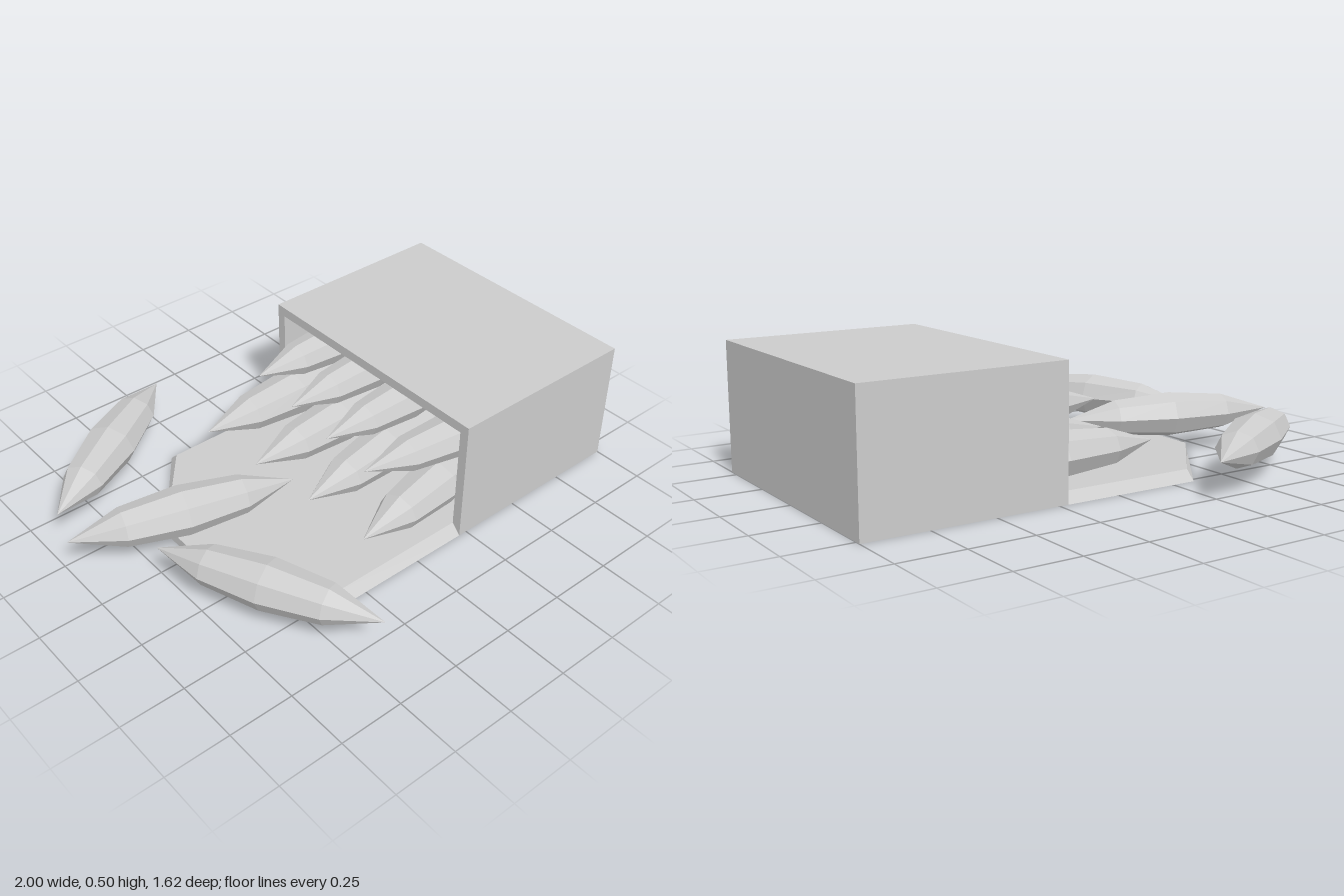
import * as THREE from 'three';

export function createModel() {
  const root = new THREE.Group();
  const material = new THREE.MeshStandardMaterial({ color: 0xcccccc, flatShading: true });
  const add = (geometry, name, parent = root) => {
    const mesh = new THREE.Mesh(geometry, material);
    mesh.name = name;
    parent.add(mesh);
    return mesh;
  };

  const wall = 0.038, front = 0.215, back = 1, height = 0.5, half = 0.535, midZ = 0.013;

  // Carton: a rectangular sleeve open towards -x, closed by an end panel
  const carton = new THREE.Group();
  carton.name = 'carton';
  carton.position.z = midZ;
  root.add(carton);
  const rectangle = (Type, inset) => new Type([
    [-half + inset, inset], [half - inset, inset],
    [half - inset, height - inset], [-half + inset, height - inset],
  ].map(([x, y]) => new THREE.Vector2(x, y)));
  const frame = rectangle(THREE.Shape, 0);
  frame.holes.push(rectangle(THREE.Path, wall));
  const sleeve = new THREE.ExtrudeGeometry(frame, { depth: back - front, bevelEnabled: false });
  sleeve.rotateY(Math.PI / 2).translate(front, 0, 0);
  add(sleeve, 'sleeve', carton);
  const panel = new THREE.BoxGeometry(wall, height - 2 * wall, 2 * (half - wall));
  add(panel, 'endPanel', carton).position.set(back - wall / 2, height / 2, 0);

  // Floor tongue: tapered outline whose sides lean inwards at the top
  const outline = [[front, -half], [front, half], [-0.345, half], [-0.62, 0.18], [-0.62, -0.18], [-0.345, -half]];
  const tongue = new THREE.ExtrudeGeometry(
    new THREE.Shape(outline.map(([x, y]) => new THREE.Vector2(x, y))),
    { depth: wall, bevelEnabled: false });
  tongue.rotateX(-Math.PI / 2);
  const p = tongue.attributes.position;
  for (let i = 0; i < p.count; i++) {
    if (p.getY(i) > wall / 2) p.setZ(i, p.getZ(i) * (half - wall) / half);
  }
  tongue.computeVertexNormals();
  add(tongue, 'floorTongue').position.z = midZ;

  // Eight-sided spindle lying along x, pointed at both ends
  const spindle = new THREE.LatheGeometry(
    [[0, -1], [0.78, -0.53], [1, 0], [0.78, 0.53], [0, 1]].map(([r, y]) => new THREE.Vector2(r, y)), 8);
  spindle.rotateZ(Math.PI / 2);
  const addSpindle = (name, x, y, z, yaw, length = 0.435, high = 0.088, wide = 0.103) => {
    const mesh = add(spindle, name);
    mesh.position.set(x, y, z);
    mesh.rotation.y = yaw;
    mesh.scale.set(length, high, wide);
  };

  // Three loose spindles spilled in front of the carton: tip to tip
  const loose = [
    [-0.95, -0.355, -0.21, -0.81],
    [-1.0, -0.205, -0.165, 0.035],
    [-0.77, 0.02, -0.395, 0.805],
  ];
  for (const [x1, z1, x2, z2] of loose) {
    addSpindle('looseSpindle', (x1 + x2) / 2, 0.148, (z1 + z2) / 2,
      -Math.atan2(z2 - z1, x2 - x1), Math.hypot(x2 - x1, z2 - z1) / 2);
  }

  // Two stacked rows reaching out of the opening: tip x, tip z, z at centre
  const rows = [
    { y: 0.148, size: [0.435, 0.088, 0.105], items: [[-0.24, -0.405, -0.405], [-0.22, -0.125, -0.148], [-0.2, 0.165, 0.11], [-0.185, 0.455, 0.385]] },
    { y: 0.322, size: [0.4, 0.08, 0.095], items: [[0, -0.38, -0.38], [-0.03, -0.14, -0.15], [-0.055, 0.097, 0.09], [-0.075, 0.33, 0.375]] },
  ];
  rows.forEach(({ y, size, items }, level) => {
    for (const [tipX, tipZ, z] of items) {
      const yaw = -Math.asin((z - tipZ) / size[0]);
      addSpindle(level ? 'upperSpindle' : 'lowerSpindle', tipX + size[0] * Math.cos(yaw), y, z, yaw, ...size);
    }
  });

  return root;
}
